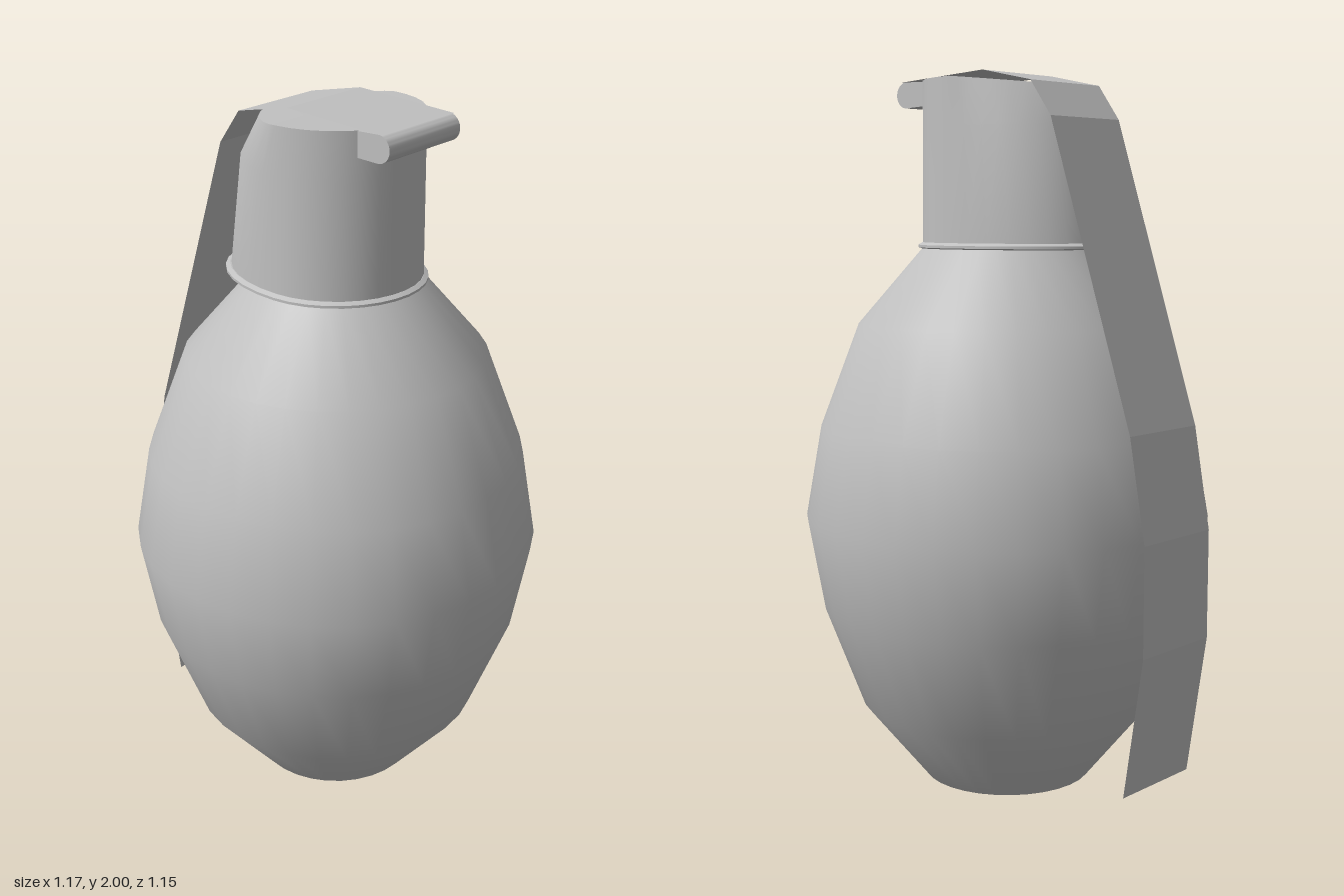
import * as THREE from 'three';
import { toCreasedNormals } from 'three/addons/utils/BufferGeometryUtils.js';

const SEG = 32;
const CX = 0.01; // axis of body and neck

// Ring: round on the right, stretched to "left" on the other side.
function ring({ y, r, left, power = 1, drop = 0 }) {
  const pts = [];
  for (let i = 0; i < SEG; i++) {
    const t = (i / SEG) * Math.PI * 2;
    const c = Math.cos(t), s = Math.sin(t);
    if (c > -1e-6) pts.push([CX + r * c, y, r * s]);
    else {
      const u = Math.pow(-c, power);
      pts.push([CX - left * u, y - drop * u, Math.sign(s) * r * Math.pow(Math.abs(s), power)]);
    }
  }
  return pts;
}

function geometry(points, index) {
  const g = new THREE.BufferGeometry();
  g.setAttribute('position', new THREE.Float32BufferAttribute(points.flat(), 3));
  g.setIndex(index);
  g.computeVertexNormals();
  return g;
}

// Smooth wall through a stack of rings
function wall(rings) {
  const index = [];
  for (let j = 0; j < rings.length - 1; j++) {
    for (let i = 0; i < SEG; i++) {
      const k = (i + 1) % SEG, a = j * SEG, b = a + SEG;
      index.push(a + i, b + i, a + k, b + i, b + k, a + k);
    }
  }
  return toCreasedNormals(geometry(rings.flat(), index), 0.6);
}

// Cap closing one ring
function cap(points, up) {
  const index = [];
  for (let i = 0; i < SEG; i++) {
    const k = (i + 1) % SEG;
    index.push(SEG, ...(up ? [k, i] : [i, k]));
  }
  return geometry([...points, [CX, points[0][1], 0]], index);
}

export function createModel() {
  const model = new THREE.Group();
  const metal = new THREE.MeshStandardMaterial({ color: 0xc0c0c0 });
  metal.name = 'grey metal';
  metal.side = THREE.DoubleSide;

  const add = (name, geo) => {
    const mesh = new THREE.Mesh(geo, metal);
    mesh.name = name;
    model.add(mesh);
    return mesh;
  };

  // Barrel-shaped body
  const profile = [[0.24, 0], [0.42, 0.22], [0.53, 0.51], [0.575, 0.765],
    [0.53, 1.02], [0.42, 1.31], [0.235, 1.525]].map(([x, y]) => new THREE.Vector2(x, y));
  add('body', new THREE.LatheGeometry(profile, SEG)).position.x = CX;
  add('bodyBase', cap(ring({ y: 0, r: 0.24, left: 0.24 }), false));

  // Thin collar between body and neck
  const collar = [
    { y: 1.52, r: 0.242, left: 0.33 }, { y: 1.523, r: 0.25, left: 0.337 },
    { y: 1.53, r: 0.25, left: 0.337 }, { y: 1.537, r: 0.238, left: 0.325 },
  ].map(ring);
  add('collar', wall(collar));
  add('collarUnderside', cap(collar[0], false));
  add('collarTop', cap(collar[3], true));

  // Neck, sloping in towards the lever side
  const neck = [
    { y: 1.53, r: 0.237, left: 0.32 },
    { y: 1.85, r: 0.235, left: 0.265 },
    { y: 1.98, r: 0.235, left: 0.21, power: 1.3, drop: 0.02 },
  ].map(ring);
  add('neck', wall(neck));
  add('neckTop', cap(neck[2], true));

  // Bent sheet lever
  const path = [[-0.53, 0.08], [-0.59, 0.47], [-0.59, 0.77], [-0.54, 1.05],
    [-0.27, 1.87], [-0.2, 1.965], [-0.03, 2], [0.28, 1.982]];
  const strip = [], faces = [];
  path.forEach(([x, y], i) => {
    strip.push([x, y, -0.145], [x, y, 0.145]);
    if (i) {
      const a = 2 * i - 2;
      faces.push(a, a + 1, a + 2, a + 1, a + 3, a + 2);
    }
  });
  add('lever', toCreasedNormals(geometry(strip, faces), 0.02));

  // Rolled hook at the end of the lever
  const hook = new THREE.Shape();
  hook.moveTo(0.2, 1.913);
  hook.lineTo(0.265, 1.91);
  hook.absarc(0.265, 1.946, 0.036, -Math.PI / 2, Math.PI / 2, false);
  hook.lineTo(0.2, 1.98);
  hook.closePath();
  const roll = new THREE.ExtrudeGeometry(hook, { depth: 0.286, bevelEnabled: false, curveSegments: 10 });
  roll.translate(0, 0, -0.143);
  add('leverHook', toCreasedNormals(roll, 0.6));

  return model;
}
